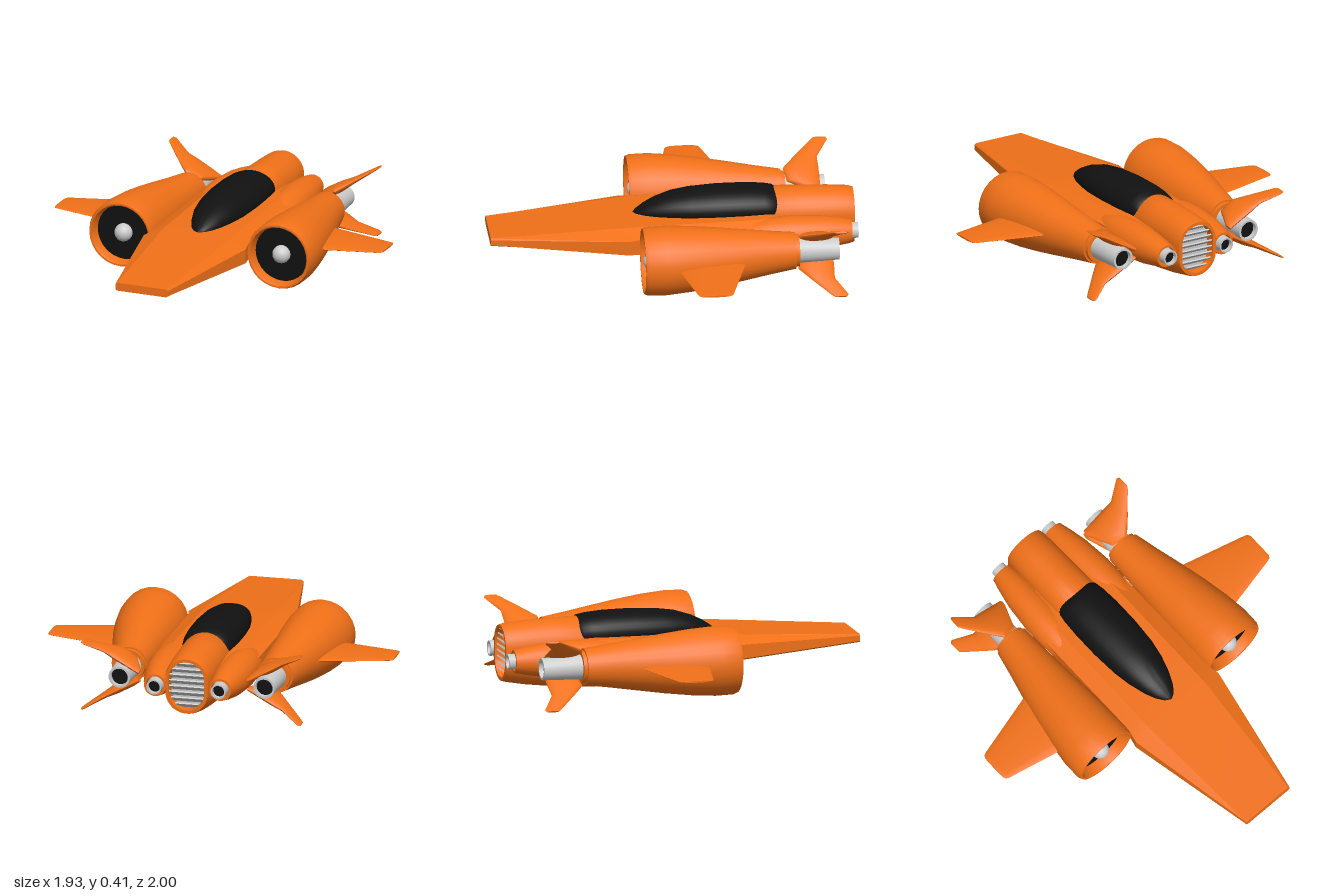
import * as THREE from 'three';
import { toCreasedNormals } from 'three/addons/utils/BufferGeometryUtils.js';

const ORANGE = 0xf07018, BLACK = 0x111111, GREY = 0xcccccc;
const mats = {};
const mat = c => (mats[c] ??= new THREE.MeshStandardMaterial({ color: c }));
const MID = 0.205; // height of the craft's centre line

// Closed skin through a list of rings (arrays of [x, y, z]), capped at both ends, facing outward
function loft(rings, crease = 0.6) {
  const n = rings[0].length, pos = rings.flat(), idx = [];
  for (let i = 0; i < rings.length - 1; i++)
    for (let j = 0; j < n; j++) {
      const a = i * n + j, b = i * n + (j + 1) % n;
      idx.push([a, b, a + n], [b, b + n, a + n]);
    }
  [0, rings.length - 1].forEach((r, end) => {
    const c = pos.length;
    pos.push([0, 1, 2].map(k => rings[r].reduce((s, p) => s + p[k], 0) / n));
    for (let j = 0; j < n; j++) {
      const a = r * n + j, b = r * n + (j + 1) % n;
      idx.push(end ? [a, b, c] : [b, a, c]);
    }
  });
  const v = pos.map(p => new THREE.Vector3(...p));
  const vol = idx.reduce((s, [a, b, c]) => s + v[a].dot(v[b].clone().cross(v[c])), 0);
  const geo = new THREE.BufferGeometry().setFromPoints(v);
  geo.setIndex((vol < 0 ? idx.map(t => [t[0], t[2], t[1]]) : idx).flat());
  return toCreasedNormals(geo, crease);
}

// Circle ring across z
function circle(z, cx, r, cy = MID, n = 28) {
  return Array.from({ length: n }, (_, i) => {
    const a = (i / n) * Math.PI * 2;
    return [cx + r * Math.cos(a), cy + r * Math.sin(a), z];
  });
}

// Upright stadium ring across z: half width w, from bottom to top
function stadium(z, w, top, bot, n = 32) {
  const ry = Math.min(w, (top - bot) / 2);
  return Array.from({ length: n }, (_, i) => {
    const a = ((i + 0.5) / n) * Math.PI * 2, s = Math.sin(a);
    return [w * Math.cos(a), (s > 0 ? top - ry : bot + ry) + ry * s, z];
  });
}

// Lens ring at spanwise x, from z0 to z1; t is half thickness, tilt the slope of the blade
function blade(x, y, z0, z1, t, tilt = 0, n = 16) {
  return Array.from({ length: n }, (_, i) => {
    const a = (i / n) * Math.PI * 2, o = t * Math.sin(a);
    return [x - o * Math.sin(tilt), y + o * Math.cos(tilt),
      (z0 + z1) / 2 + ((z1 - z0) / 2) * Math.cos(a)];
  });
}

function disc(x, y, z, r, back = false) {
  const g = new THREE.CircleGeometry(r, 28);
  if (back) g.rotateY(Math.PI);
  return g.translate(x, y, z);
}

// Hollow exhaust pipe pointing backwards
function pipe(x, z0, z1, r0, r1) {
  return loft([circle(z0, x, r0), circle(z1, x, r1), circle(z1, x, r1 * 0.8), circle(z1 + 0.03, x, r1 * 0.78)]);
}

function mirrored(geo) {
  const g = geo.index ? geo.toNonIndexed() : geo.clone();
  g.scale(-1, 1, 1);
  const idx = [];
  for (let i = 0; i < g.attributes.position.count; i += 3) idx.push(i, i + 2, i + 1);
  g.setIndex(idx);
  return g;
}

export function createModel() {
  const group = new THREE.Group();
  const add = (name, geo, color = ORANGE) => {
    const m = new THREE.Mesh(geo, mat(color));
    m.name = name;
    group.add(m);
  };
  const pair = (name, geo, color) => {
    add(name + 'Left', geo, color);
    add(name + 'Right', mirrored(geo), color);
  };

  // Flat wedge-nosed hull: z, half width, flat-top half width, top, upper edge, lower edge, bottom
  add('hull', loft([
    [1, 0.155, 0.145, 0.23, 0.222, 0.193, 0.185],
    [0.26, 0.3, 0.2, 0.284, 0.245, 0.165, 0.134],
    [0.18, 0.283, 0.2, 0.288, 0.25, 0.16, 0.13],
    [-0.5, 0.283, 0.2, 0.3, 0.255, 0.155, 0.12],
    [-0.75, 0.25, 0.18, 0.28, 0.25, 0.16, 0.13],
  ].map(([z, w, f, t, u, l, b]) =>
    [[w, u, z], [f, t, z], [-f, t, z], [-w, u, z], [-w, l, z], [-f, b, z], [f, b, z], [w, l, z]]), 0.3));

  // Central spine with belly intake in front and louvred exhaust behind
  add('spine', loft([
    stadium(-0.18, 0.118, 0.262, 0.022),
    stadium(-0.12, 0.122, 0.266, 0.018),
    stadium(-0.12, 0.135, 0.28, 0.008),
    stadium(-0.3, 0.137, 0.3, 0.002),
    stadium(-0.48, 0.137, 0.35, 0),
    stadium(-0.55, 0.135, 0.395, 0.004),
    stadium(-0.7, 0.133, 0.393, 0.016),
    stadium(-0.85, 0.13, 0.388, 0.035),
    stadium(-0.96, 0.125, 0.38, 0.055),
    stadium(-0.99, 0.118, 0.372, 0.064),
    stadium(-0.99, 0.1, 0.355, 0.081),
    stadium(-0.93, 0.098, 0.352, 0.084),
  ]));
  add('bellyIntake', disc(0, 0.142, -0.16, 0.12), BLACK);
  for (let i = 0; i < 8; i++) {
    const y = 0.104 + i * 0.0325;
    const w = i === 0 || i === 7 ? 0.13 : i === 1 || i === 6 ? 0.18 : 0.198;
    const slat = new THREE.BoxGeometry(w, 0.008, 0.05);
    slat.rotateX(0.6).translate(0, y, -0.958);
    add('exhaustSlat' + (i + 1), slat, GREY);
  }
  add('exhaustBack', loft([stadium(-0.925, 0.096, 0.35, 0.086), stadium(-0.938, 0.096, 0.35, 0.086)]), GREY);

  // Teardrop canopy: z, half width, top
  add('canopy', loft([
    [0.212, 0.008, 0.287], [0.195, 0.035, 0.302], [0.15, 0.065, 0.332], [0.09, 0.091, 0.362],
    [0, 0.118, 0.392], [-0.1, 0.136, 0.407], [-0.25, 0.146, 0.416], [-0.4, 0.146, 0.416],
    [-0.5, 0.14, 0.409], [-0.55, 0.132, 0.4], [-0.568, 0.118, 0.388],
  ].map(([z, w, t]) => stadium(z, w, t, Math.min(0.27, t - 0.03) - w * 0.4)), 0.8), BLACK);

  // Small boosters beside the spine
  pair('booster', loft([
    circle(-0.34, 0.205, 0.05), circle(-0.42, 0.202, 0.083), circle(-0.52, 0.2, 0.098),
    circle(-0.64, 0.196, 0.102), circle(-0.8, 0.19, 0.092), circle(-0.9, 0.185, 0.076),
    circle(-0.965, 0.182, 0.062), circle(-0.965, 0.182, 0.05), circle(-0.93, 0.182, 0.048),
  ]));
  pair('boosterNozzle', pipe(0.18, -0.92, -1, 0.045, 0.042), GREY);
  pair('boosterNozzleBore', disc(0.18, MID, -0.974, 0.034, true), BLACK);

  // Tapering engine nacelles with a recessed fan
  pair('nacelle', loft([
    circle(0.13, 0.465, 0.155), circle(0.19, 0.465, 0.163), circle(0.2, 0.466, 0.17),
    circle(0.2, 0.466, 0.18), circle(0.18, 0.467, 0.187), circle(0.08, 0.466, 0.189),
    circle(-0.05, 0.459, 0.18), circle(-0.2, 0.449, 0.162), circle(-0.35, 0.436, 0.14),
    circle(-0.5, 0.42, 0.118), circle(-0.635, 0.407, 0.1), circle(-0.635, 0.406, 0.09),
    circle(-0.655, 0.406, 0.088),
  ]));
  pair('fan', disc(0.465, MID, 0.14, 0.158), BLACK);
  pair('fanSpinner', new THREE.SphereGeometry(0.05, 24, 16).translate(0.465, MID, 0.15), GREY);
  pair('nozzle', pipe(0.405, -0.64, -0.873, 0.07, 0.06), GREY);
  pair('nozzleBore', disc(0.405, MID, -0.847, 0.049, true), BLACK);

  // Stub wings
  pair('wing', loft([
    blade(0.5, 0.21, -0.367, 0.043, 0.02), blade(0.94, 0.211, -0.248, -0.054, 0.008),
    blade(0.957, 0.211, -0.241, -0.06, 0.007), blade(0.965, 0.211, -0.225, -0.075, 0.005),
  ], 0.9));

  // Slanted tail fins above and below each nozzle: x, back z, front z, half thickness
  for (const v of [1, -1])
    pair(v > 0 ? 'upperFin' : 'lowerFin', loft([
      [0.305, -0.845, -0.8, 0.012], [0.36, -0.845, -0.665, 0.025], [0.44, -0.845, -0.65, 0.026],
      [0.5, -0.842, -0.71, 0.016], [0.6, -0.908, -0.815, 0.007], [0.613, -0.9, -0.832, 0.005],
    ].map(([x, z0, z1, t]) =>
      blade(x, MID + v * (0.192 - 0.55 * (0.613 - x)), z0, z1, t, v * 0.5)), 0.7));

  return group;
}
